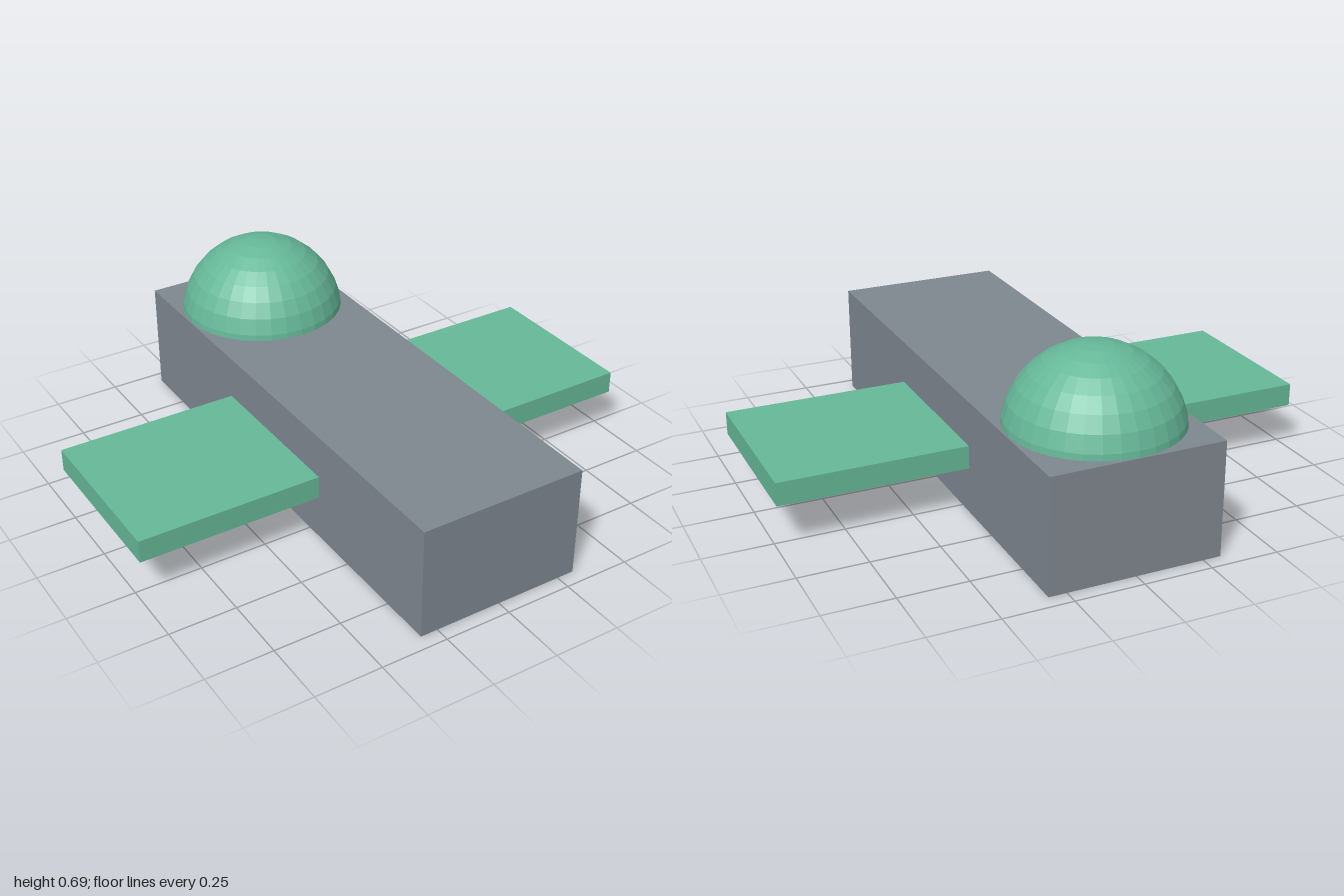
import * as THREE from 'three';

export function createModel() {
  const model = new THREE.Group();
  const grey = new THREE.MeshStandardMaterial({ color: 0x808890, flatShading: true });
  const green = new THREE.MeshStandardMaterial({ color: 0x66b899, flatShading: true });

  const add = (name, geometry, material, x, y, z) => {
    const mesh = new THREE.Mesh(geometry, material);
    mesh.name = name;
    mesh.position.set(x, y, z);
    model.add(mesh);
  };

  // Long block body standing on the ground
  add('body', new THREE.BoxGeometry(0.63, 0.42, 1.89), grey, 0, 0.21, 0);

  // Flat plate running through the body, showing as a wing on each side
  add('wings', new THREE.BoxGeometry(2, 0.085, 0.63), green, 0, 0.213, 0);

  // Faceted dome at the rear, its equator sunk just below the body top
  const dome = new THREE.SphereGeometry(0.314, 32, 8, 0, Math.PI * 2, 0, Math.PI / 2);
  add('dome', dome, green, 0, 0.381, -0.63);

  return model;
}
